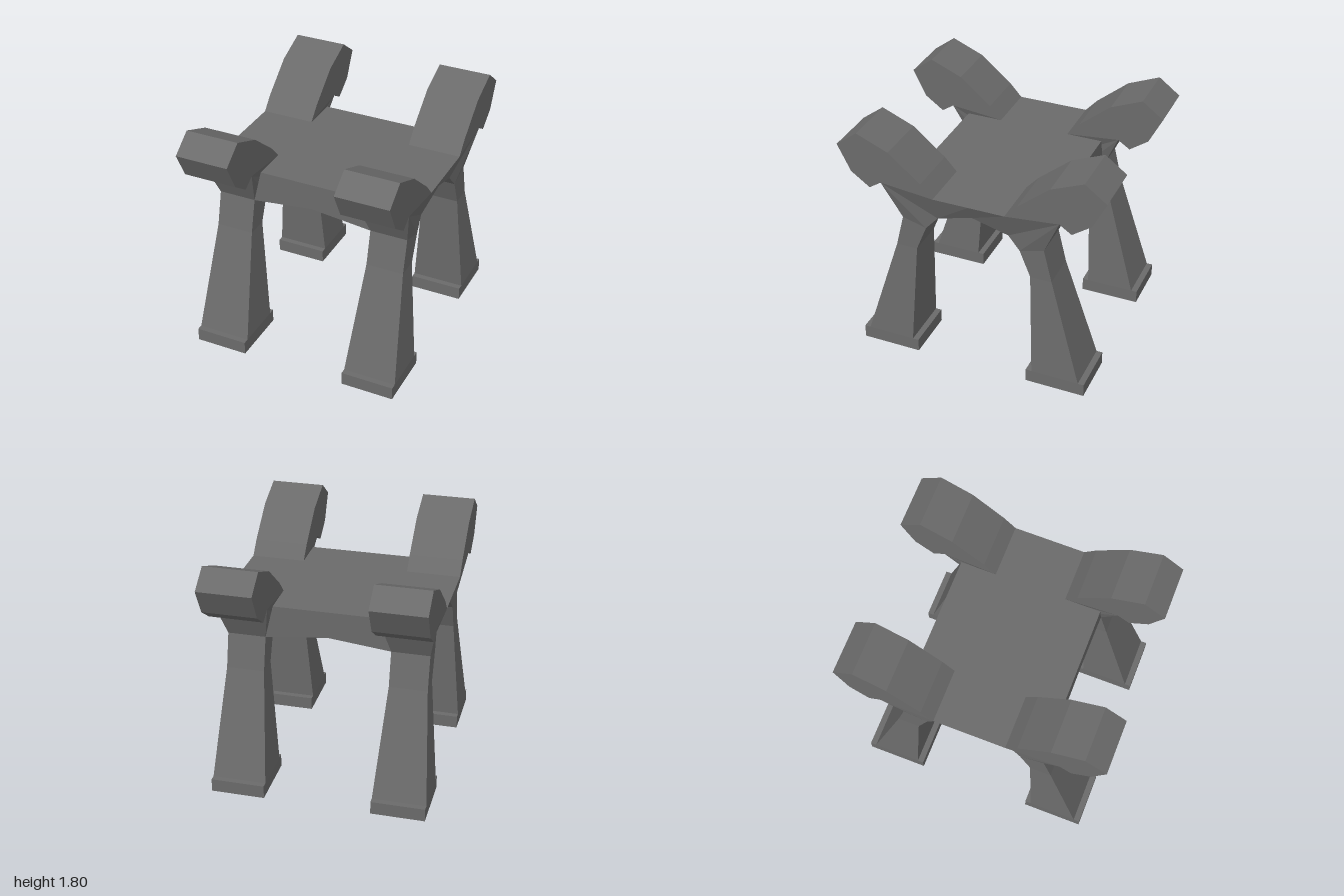
import * as THREE from 'three';

const material = new THREE.MeshStandardMaterial({ color: 0x6a6a6a, flatShading: true });

// Joins rings of points (clockwise seen against the direction of travel) and caps both ends.
function loft(rings) {
  const positions = [];
  const tri = (a, b, c) => {
    const [p, q, r] = [a, b, c].map((v) => new THREE.Vector3(...v));
    if (q.sub(p).cross(r.sub(p)).length() > 1e-6) positions.push(...a, ...b, ...c);
  };
  const n = rings[0].length;
  for (let s = 0; s < rings.length - 1; s++) {
    const a = rings[s], b = rings[s + 1];
    for (let i = 0; i < n; i++) {
      const j = (i + 1) % n;
      tri(a[i], b[i], b[j]);
      tri(a[i], b[j], a[j]);
    }
  }
  const first = rings[0], last = rings[rings.length - 1];
  for (let i = 1; i < n - 1; i++) {
    tri(first[0], first[i], first[i + 1]);
    tri(last[0], last[i + 1], last[i]);
  }
  const geometry = new THREE.BufferGeometry();
  geometry.setAttribute('position', new THREE.Float32BufferAttribute(positions, 3));
  geometry.computeVertexNormals();
  return geometry;
}

function addMesh(parent, name, geometry) {
  const mesh = new THREE.Mesh(geometry, material);
  mesh.name = name;
  parent.add(mesh);
  return mesh;
}

// Leg running up into the horn: inner z, y, half width, then outer z, y, half width
const LEG = [
  [0.48, 0.1, 0.2, 0.84, 0.1, 0.2],
  [0.44, 0.9, 0.14, 0.6, 0.9, 0.14],
  [0.36, 1.1, 0.14, 0.54, 1.15, 0.14],
  [0.36, 1.1, 0.14, 0.67, 1.44, 0.2],
  [0.27, 1.2, 0.13, 0.67, 1.44, 0.2],
  [0.27, 1.4, 0.2, 0.67, 1.44, 0.2],
  [0.36, 1.5, 0.2, 0.67, 1.44, 0.2],
  [0.6, 1.7, 0.2, 0.67, 1.44, 0.2],
  [0.6, 1.7, 0.2, 0.76, 1.38, 0.2],
  [0.84, 1.8, 0.2, 0.9, 1.48, 0.2],
  [1, 1.68, 0.2, 1, 1.68, 0.2],
];

// Platform rows: z, top half width, bottom half width, arch foot x, arch foot y, arch crown y
const PLATFORM = [
  [0.54, 0.4, 0.46, 0.46, 1.15, 1.2],
  [0.27, 0.4, 0.47, 0.47, 1.2, 1.25],
  [0.27, 0.8, 0.73, 0.47, 1.2, 1.25],
  [0, 0.8, 0.74, 0.47, 1.28, 1.28],
];

export function createModel() {
  const model = new THREE.Group();
  model.name = 'fourLeggedStand';

  // Platform with an arched underside, mirrored front to back
  const front = PLATFORM.slice(0, 3).reverse();
  const rows = [...PLATFORM.map(([z, ...rest]) => [-z, ...rest]), ...front];
  addMesh(model, 'platform', loft(rows.map(([z, top, bottom, foot, yFoot, yCrown]) => [
    [0, yCrown, z], [-foot, yFoot, z], [-bottom, yFoot, z], [-top, 1.4, z],
    [top, 1.4, z], [bottom, yFoot, z], [foot, yFoot, z],
  ])));

  // Four corners, the back pair turned half round
  const legGeometry = loft(LEG.map(([zi, yi, wi, zo, yo, wo]) => [
    [-wi, yi, zi], [wi, yi, zi], [wo, yo, zo], [-wo, yo, zo],
  ]));
  const footGeometry = new THREE.BoxGeometry(0.4, 0.1, 0.45);
  for (const end of ['front', 'back']) {
    for (const side of ['Left', 'Right']) {
      const corner = new THREE.Group();
      corner.name = `${end}${side}Corner`;
      addMesh(corner, `${end}${side}LegAndHorn`, legGeometry);
      addMesh(corner, `${end}${side}Foot`, footGeometry).position.set(0, 0.05, 0.66);
      corner.position.x = side === 'Left' ? 0.6 : -0.6;
      if (end === 'back') corner.rotation.y = Math.PI;
      model.add(corner);
    }
  }
  return model;
}
